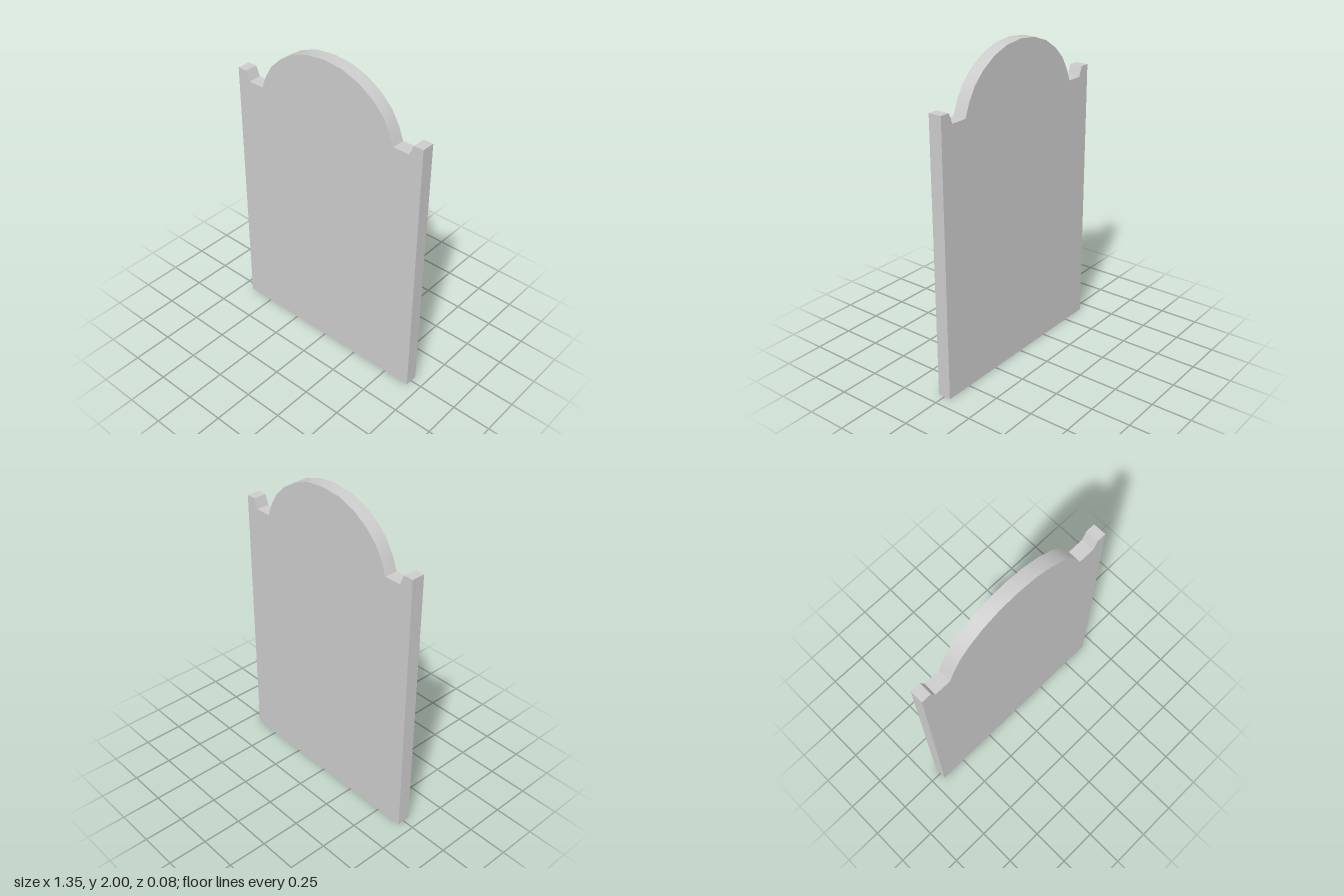
import * as THREE from 'three';
import { toCreasedNormals } from 'three/addons/utils/BufferGeometryUtils.js';

const HALF_WIDTH = 0.675;
const THICKNESS = 0.084;

export function createModel() {
  const group = new THREE.Group();
  group.name = 'headstone';

  // Left half of the outline: base corner, shoulder, notch, then the arch up to its crown
  const half = [
    [HALF_WIDTH, 0], [HALF_WIDTH, 1.72], [0.613, 1.72], [0.588, 1.657],
    [0.483, 1.657], [0.45, 1.738], [0.405, 1.815], [0.333, 1.886],
    [0.238, 1.947], [0.125, 1.987],
  ];
  const mirrored = half.map(([x, y]) => [-x, y]).reverse();
  const outline = [...half, [0, 2], ...mirrored].map(([x, y]) => new THREE.Vector2(x, y));

  // Flat slab with crisp corners and a smoothly shaded arch
  const slab = new THREE.ExtrudeGeometry(new THREE.Shape(outline), {
    depth: THICKNESS, bevelEnabled: false,
  });
  slab.translate(0, 0, -THICKNESS / 2);

  const mesh = new THREE.Mesh(
    toCreasedNormals(slab, 0.6),
    new THREE.MeshStandardMaterial({ color: 0xcccccc }),
  );
  mesh.name = 'archedSlab';
  group.add(mesh);
  return group;
}
